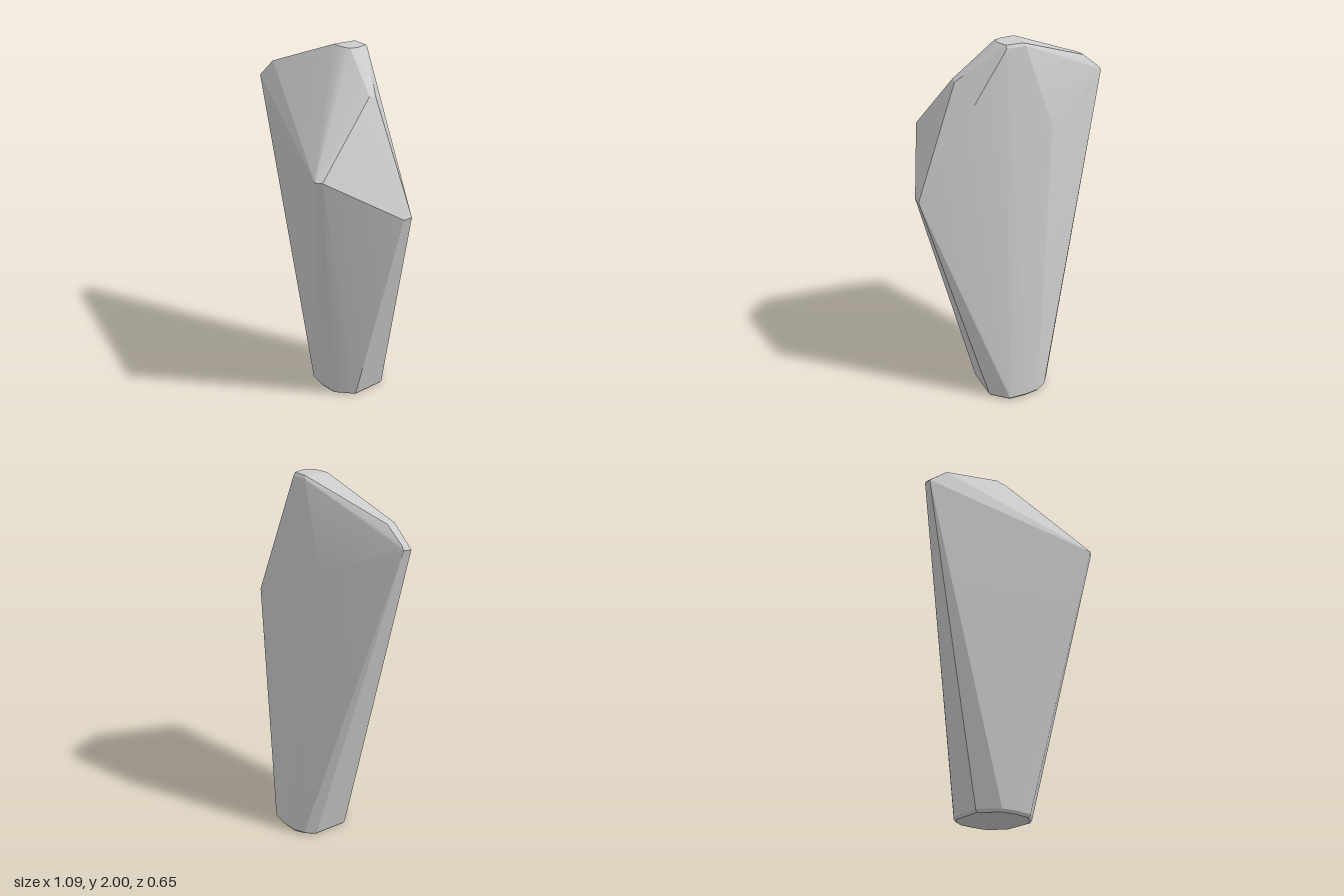
import * as THREE from 'three';
import { ConvexGeometry } from 'three/addons/geometries/ConvexGeometry.js';
import { toCreasedNormals } from 'three/addons/utils/BufferGeometryUtils.js';

export function createModel() {
  const group = new THREE.Group();
  group.name = 'facetedStone';
  const points = [];
  const add = (...list) => list.forEach((p) => points.push(new THREE.Vector3(...p)));

  // Rounded octagonal foot: narrow sole, then full width just above it
  const foot = [
    [-0.04, -0.32], [0.04, -0.328], [0.135, -0.322], [0.222, -0.24], [0.225, -0.05], [0.135, 0.045],
    [0.04, 0.06], [-0.05, 0.05], [-0.145, -0.04], [-0.14, -0.23], [-0.1, -0.285],
  ];
  for (const [x, z] of foot) {
    add([0.04 + (x - 0.04) * 0.94, 0, -0.135 + (z + 0.135) * 0.94], [x, 0.015, z]);
  }
  add([-0.04, 0.05, -0.322], [0.135, 0.05, -0.322]);

  // Flat crown
  add([-0.01, 2, -0.055], [0.06, 2, -0.06], [0.1, 2, -0.075], [0.11, 2, -0.12],
    [0.09, 2, -0.18], [0, 2, -0.18], [-0.01, 1.985, -0.189], [0.09, 1.985, -0.19]);

  // Blunt corner on the right-hand side and its upper shoulder
  add([-0.545, 1.73, 0], [-0.545, 1.725, 0.045], [-0.53, 1.75, 0], [-0.43, 1.83, -0.01], [-0.43, 1.83, 0.035]);

  // Front corner
  add([0.36, 1.48, 0.325], [0.388, 1.48, 0.3], [0.355, 1.465, 0.323]);

  // Left-hand corner and its upper shoulder
  add([0.545, 1.24, -0.13], [0.545, 1.24, -0.08], [0.31, 1.82, -0.035], [0.312, 1.815, -0.07]);

  // Back corner
  add([-0.16, 1.556, -0.21], [-0.15, 1.556, -0.213]);

  const stone = new THREE.Mesh(
    toCreasedNormals(new ConvexGeometry(points), 0.25),
    new THREE.MeshStandardMaterial({ color: 0xcccccc }),
  );
  stone.name = 'stoneBody';
  group.add(stone);
  return group;
}
